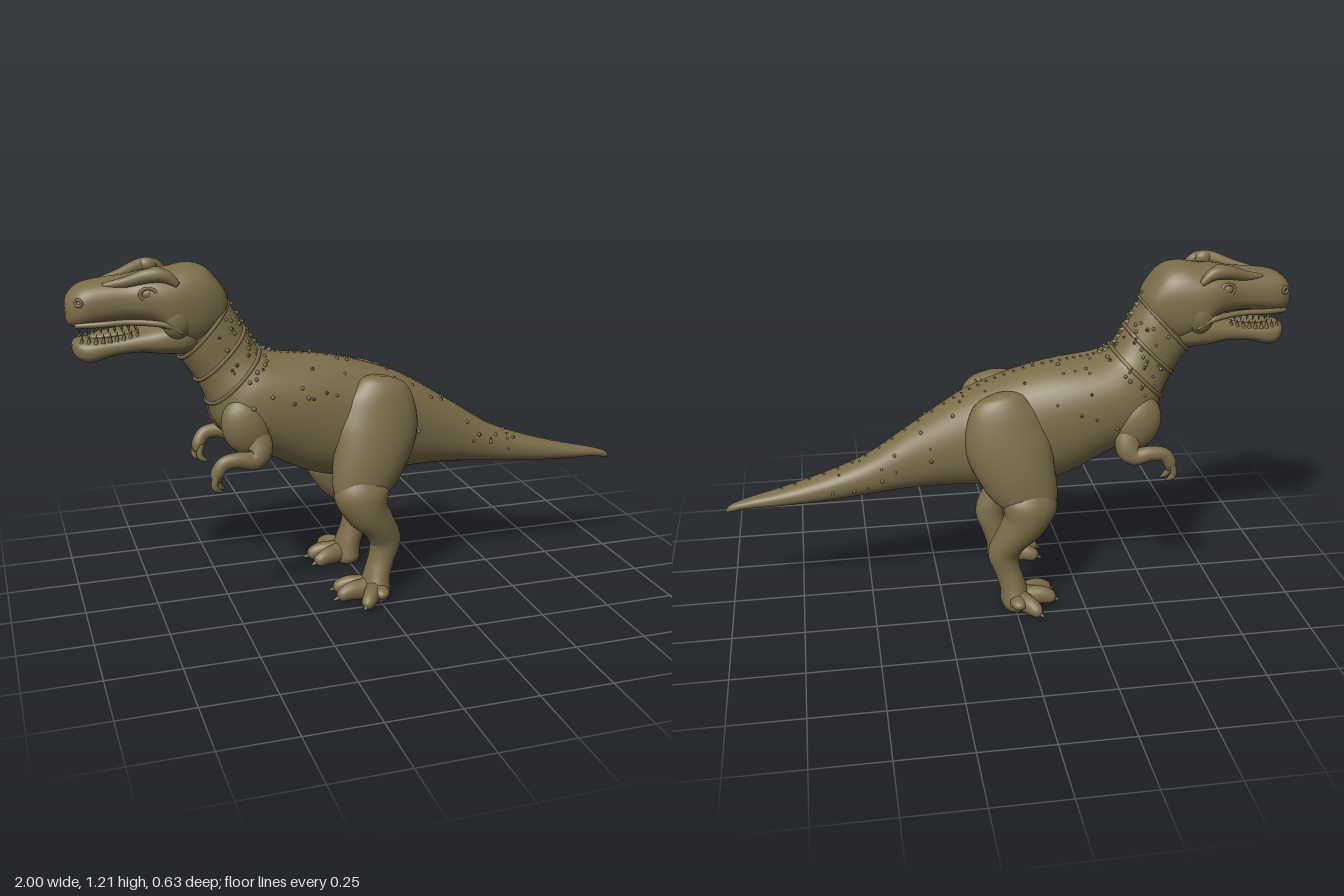
import * as THREE from 'three';
import { mergeGeometries } from 'three/addons/utils/BufferGeometryUtils.js';

const V = (x, y, z) => new THREE.Vector3(x, y, z);
const hide = new THREE.MeshStandardMaterial({ color: 0x7c6e4a });
hide.name = 'olive hide';

// Smoothly resample rows of numbers (Catmull-Rom on every column)
function resample(rows, per) {
  const out = [], n = rows.length - 1;
  const at = i => rows[Math.max(0, Math.min(n, i))];
  for (let k = 0; k <= n * per; k++) {
    const i = Math.min(n - 1, Math.floor(k / per)), t = k / per - i;
    const [a, b, c, d] = [at(i - 1), at(i), at(i + 1), at(i + 2)];
    out.push(b.map((_, j) => 0.5 * (2 * b[j] + (c[j] - a[j]) * t
      + (2 * a[j] - 5 * b[j] + 4 * c[j] - d[j]) * t * t
      + (3 * b[j] - a[j] - 3 * c[j] + d[j]) * t * t * t)));
  }
  return out;
}

// Skin closed rings of points, cap both ends and turn the faces outwards
function skin(rings) {
  const m = rings[0].length, n = rings.length, pts = rings.flat(), idx = [];
  for (let i = 0; i < n - 1; i++) for (let j = 0; j < m; j++) {
    const a = i * m + j, b = i * m + (j + 1) % m;
    idx.push(a, b, a + m, b, b + m, a + m);
  }
  for (const [ring, start, flip] of [[rings[0], 0, 0], [rings[n - 1], (n - 1) * m, 1]]) {
    const mid = ring.reduce((s, p) => s.add(p), V(0, 0, 0)).divideScalar(m);
    pts.push(mid);
    for (let j = 0; j < m; j++) {
      const a = start + j, b = start + (j + 1) % m;
      idx.push(pts.length - 1, flip ? a : b, flip ? b : a);
    }
  }
  let volume = 0;
  for (let i = 0; i < idx.length; i += 3)
    volume += pts[idx[i]].dot(pts[idx[i + 1]].clone().cross(pts[idx[i + 2]]));
  if (volume < 0) idx.reverse();
  const g = new THREE.BufferGeometry().setFromPoints(pts);
  g.setIndex(idx);
  g.computeVertexNormals();
  return g;
}

const pw = (v, e) => Math.sign(v) * Math.abs(v) ** e;

// Trunk rows: [top x, top y, bottom x, bottom y, half width]
function trunkRings(rows, sides, per, e = 0.9) {
  return resample(rows, per).map(([xt, yt, xb, yb, w]) => Array.from({ length: sides }, (_, j) => {
    const a = j / sides * Math.PI * 2, c = pw(Math.cos(a), e), s = pw(Math.sin(a), e);
    return V((xt + xb + (xt - xb) * c) / 2, (yt + yb + (yt - yb) * c) / 2, w * s);
  }));
}

// Limb rows: [x, y, z, radius across, radius along ref]
function limb(rows, ref, side = 1, sides = 20, per = 5) {
  const r = resample(rows, per), at = i => V(...r[Math.max(0, Math.min(r.length - 1, i))].slice(0, 3));
  return skin(r.map((row, i) => {
    const t = at(i + 1).sub(at(i - 1)).normalize();
    const p = ref.clone().addScaledVector(t, -ref.dot(t)).normalize(), q = t.clone().cross(p);
    return Array.from({ length: sides }, (_, j) => {
      const a = j / sides * Math.PI * 2;
      const v = at(i).addScaledVector(q, row[3] * Math.cos(a)).addScaledVector(p, row[4] * Math.sin(a));
      v.z *= side;
      return v;
    });
  }));
}

// Small cone pointing from p along dir
function spike(p, dir, r, h, sides = 8) {
  const q = new THREE.Quaternion().setFromUnitVectors(V(0, 1, 0), dir.clone().normalize());
  return new THREE.ConeGeometry(r, h, sides).translate(0, h / 2, 0).applyQuaternion(q).translate(p.x, p.y, p.z);
}

const ball = (x, y, z, rx, ry, rz, tilt = 0) =>
  new THREE.SphereGeometry(1, 20, 14).scale(rx, ry, rz).rotateZ(tilt).translate(x, y, z);

const vertical = rows => rows.map(([x, t, b, w]) => [x, t, x, b, w]);

export function createModel() {
  const model = new THREE.Group();
  const add = (name, geometry, parent = model) => {
    const mesh = new THREE.Mesh(geometry, hide);
    mesh.name = name;
    parent.add(mesh);
    return mesh;
  };
  const Y = V(0, 1, 0), Z = V(0, 0, 1);

  // Neck, torso and tail in one sweep
  const sides = 40;
  const bodyRings = trunkRings([
    [-0.52, 1.17, -0.68, 0.95, 0.09], [-0.46, 1.06, -0.63, 0.88, 0.105], [-0.41, 0.97, -0.58, 0.8, 0.112],
    [-0.37, 0.91, -0.55, 0.73, 0.135], [-0.31, 0.885, -0.53, 0.66, 0.16], [-0.24, 0.875, -0.47, 0.59, 0.172],
    [-0.16, 0.865, -0.34, 0.52, 0.175], [-0.06, 0.845, -0.2, 0.45, 0.17], [0.04, 0.815, -0.06, 0.42, 0.165],
    [0.13, 0.78, 0.08, 0.425, 0.15], [0.22, 0.73, 0.2, 0.43, 0.12], [0.36, 0.64, 0.35, 0.425, 0.088],
    [0.5, 0.55, 0.5, 0.41, 0.07], [0.65, 0.49, 0.65, 0.395, 0.058], [0.8, 0.445, 0.8, 0.385, 0.042],
    [0.92, 0.415, 0.92, 0.38, 0.026], [0.98, 0.395, 0.98, 0.37, 0.014], [1, 0.375, 1, 0.368, 0.004],
  ], sides, 6);
  const body = add('body', skin(bodyRings)).geometry;

  // Skin folds around the neck
  for (const i of [5, 11, 18]) {
    const curve = new THREE.CatmullRomCurve3(bodyRings[i].filter((_, j) => j % 2 === 0), true);
    add('neckFold', new THREE.TubeGeometry(curve, 60, 0.007, 6, true));
  }

  // Spikes along the spine, and bumps scattered over the hide
  const pos = body.attributes.position, nor = body.attributes.normal, spines = [], bumps = [];
  const vertex = (attr, k) => V(0, 0, 0).fromBufferAttribute(attr, k);
  for (let i = 4; i < 86; i += 2) {
    const big = i < 24 ? 0.017 : 0.01;
    spines.push(spike(vertex(pos, i * sides).addScaledVector(vertex(nor, i * sides), -0.004),
      vertex(nor, i * sides).add(V(0.4, 0, 0)), big * 0.7, big * 1.3));
  }
  add('spineSpikes', mergeGeometries(spines));
  let seed = 7;
  const rand = () => (seed = seed * 16807 % 2147483647) / 2147483647;
  for (let n = 0; n < 150; n++) {
    const ring = Math.floor(3 + (n < 45 ? 20 : 75) * rand()), col = Math.floor((rand() - 0.5) * 24 + sides) % sides;
    const k = ring * sides + col, p = vertex(pos, k), r = 0.004 + 0.004 * rand();
    bumps.push(n % 3 ? new THREE.SphereGeometry(r, 7, 5).translate(p.x, p.y, p.z)
      : spike(p, vertex(nor, k), r, r * 1.8, 6));
  }
  add('hideBumps', mergeGeometries(bumps));

  // Head: skull with upper jaw, and lower jaw
  const head = new THREE.Group();
  head.name = 'head';
  model.add(head);
  add('skull', skin(trunkRings(vertical([
    [-1, 1.09, 1.05, 0.02], [-0.99, 1.125, 1.027, 0.055], [-0.95, 1.158, 1.02, 0.085], [-0.88, 1.172, 1.027, 0.092],
    [-0.8, 1.178, 1.032, 0.1], [-0.73, 1.19, 1.02, 0.122], [-0.67, 1.195, 0.97, 0.132], [-0.6, 1.207, 0.93, 0.125],
    [-0.54, 1.19, 0.95, 0.108], [-0.49, 1.13, 1, 0.08], [-0.47, 1.09, 1.04, 0.03],
  ]), 36, 6, 0.8)), head);
  add('lowerJaw', skin(trunkRings(vertical([
    [-0.985, 0.965, 0.94, 0.02], [-0.97, 0.978, 0.915, 0.055], [-0.93, 0.982, 0.9, 0.075], [-0.85, 0.988, 0.92, 0.08],
    [-0.77, 1.003, 0.925, 0.092], [-0.7, 1.022, 0.915, 0.108], [-0.62, 1.04, 0.91, 0.11], [-0.56, 1.04, 0.93, 0.08],
  ]), 32, 6, 0.8)), head);
  add('tongue', ball(-0.84, 0.99, 0, 0.1, 0.015, 0.045, 0.1), head);

  const teeth = [];
  for (const s of [1, -1]) {
    // Rows of teeth, curving in towards the front
    for (let i = 0; i < 9; i++) {
      const x = -0.965 + i * 0.022, z = s * (0.05 + 0.028 * Math.min(1, i / 3));
      teeth.push(spike(V(x, 1.038, z), V(0.1, -1, 0), 0.009, 0.034));
      teeth.push(spike(V(x + 0.008, 0.965 + i * 0.002, z * 0.87), V(0.1, 1, 0), 0.008, 0.034));
    }
    // Brow ridge and horn, eye, nostril, cheek and lip
    add('browRidge', limb([[-0.88, 1.155, 0.055, 0.01, 0.01], [-0.81, 1.168, 0.075, 0.018, 0.018],
      [-0.74, 1.188, 0.097, 0.024, 0.022], [-0.69, 1.185, 0.105, 0.022, 0.02],
      [-0.65, 1.155, 0.112, 0.01, 0.01]], Z, s, 14), head);
    add('browHorn', ball(-0.715, 1.19, s * 0.093, 0.032, 0.026, 0.022, -0.15), head);
    add('eye', ball(-0.745, 1.13, s * 0.106, 0.019, 0.016, 0.012), head);
    add('eyelid', new THREE.TorusGeometry(0.022, 0.006, 8, 20).scale(1.15, 0.9, 1)
      .rotateY(s * -0.2).translate(-0.745, 1.13, s * 0.11), head);
    add('nostril', new THREE.TorusGeometry(0.011, 0.005, 8, 14).rotateY(s * -0.5)
      .translate(-0.962, 1.11, s * 0.08), head);
    add('cheek', ball(-0.655, 1.04, s * 0.1, 0.05, 0.065, 0.034), head);
    add('lip', limb([[-0.975, 1.032, 0.06, 0.008, 0.008], [-0.9, 1.037, 0.085, 0.01, 0.01],
      [-0.8, 1.04, 0.095, 0.01, 0.01], [-0.7, 1.03, 0.118, 0.01, 0.01],
      [-0.64, 1.0, 0.125, 0.006, 0.006]], Y, s, 10), head);

    // Shoulder, arm and two-fingered hand
    const arm = new THREE.Group();
    arm.name = s > 0 ? 'leftArm' : 'rightArm';
    model.add(arm);
    add('shoulder', ball(-0.44, 0.665, s * 0.125, 0.085, 0.105, 0.055, 0.4), arm);
    add('foreArm', limb([[-0.42, 0.66, 0.13, 0.05, 0.035], [-0.405, 0.59, 0.155, 0.045, 0.035],
      [-0.43, 0.558, 0.168, 0.034, 0.03], [-0.48, 0.567, 0.175, 0.027, 0.025], [-0.53, 0.56, 0.175, 0.025, 0.022],
      [-0.555, 0.525, 0.17, 0.023, 0.025], [-0.557, 0.5, 0.168, 0.016, 0.018]], Z, s), arm);
    for (const [dz, dx] of [[0.014, -0.006], [-0.014, 0.008]]) {
      add('finger', limb([[-0.553 + dx, 0.525, 0.168 + dz, 0.012, 0.012], [-0.562 + dx, 0.49, 0.168 + dz, 0.012, 0.012],
        [-0.553 + dx, 0.472, 0.166 + dz, 0.01, 0.01], [-0.535 + dx, 0.462, 0.164 + dz, 0.002, 0.002]], Z, s, 10), arm);
    }

    // Leg: heavy thigh, calf and ankle
    const leg = new THREE.Group();
    leg.name = s > 0 ? 'leftLeg' : 'rightLeg';
    model.add(leg);
    add('thigh', limb([[0.035, 0.8, 0.11, 0.03, 0.02], [0.033, 0.78, 0.112, 0.08, 0.045], [0.03, 0.72, 0.12, 0.125, 0.066],
      [0.015, 0.62, 0.13, 0.15, 0.083], [-0.015, 0.52, 0.148, 0.135, 0.085], [-0.045, 0.44, 0.165, 0.112, 0.073],
      [-0.05, 0.39, 0.172, 0.09, 0.06], [-0.045, 0.36, 0.175, 0.03, 0.02]], Z, s, 32), leg);
    add('calf', limb([[-0.062, 0.47, 0.175, 0.06, 0.05], [-0.055, 0.41, 0.178, 0.098, 0.076], [-0.035, 0.34, 0.18, 0.08, 0.074],
      [0.01, 0.275, 0.177, 0.06, 0.06], [0.036, 0.215, 0.169, 0.057, 0.049], [0.024, 0.15, 0.166, 0.047, 0.05],
      [0.005, 0.085, 0.17, 0.047, 0.06], [-0.003, 0.035, 0.175, 0.052, 0.072], [-0.003, 0.008, 0.175, 0.046, 0.064]], Z, s, 28), leg);
    // Toes with claws: [knuckle x, z, tip x, tip z]
    for (const [kx, kz, tx, tz] of [[-0.09, 0.132, -0.128, 0.122], [-0.1, 0.19, -0.135, 0.195], [-0.045, 0.258, -0.068, 0.288]]) {
      add('toe', limb([[0.005, 0.045, 0.175, 0.035, 0.04], [(kx + 0.005) / 2, 0.042, (kz + 0.175) / 2, 0.034, 0.037],
        [kx, 0.042, kz, 0.028, 0.033], [tx, 0.032, tz, 0.022, 0.023],
        [tx - 0.012, 0.028, tz + (tz - kz) * 0.3, 0.007, 0.008]], Y, s, 16), leg);
      add('claw', spike(V(tx, 0.03, s * tz), V(tx - kx, -0.012, s * (tz - kz)), 0.013, 0.034, 10), leg);
    }
    add('dewToe', ball(-0.005, 0.05, s * 0.245, 0.03, 0.022, 0.04), leg);
  }
  add('teeth', mergeGeometries(teeth), head);
  return model;
}
